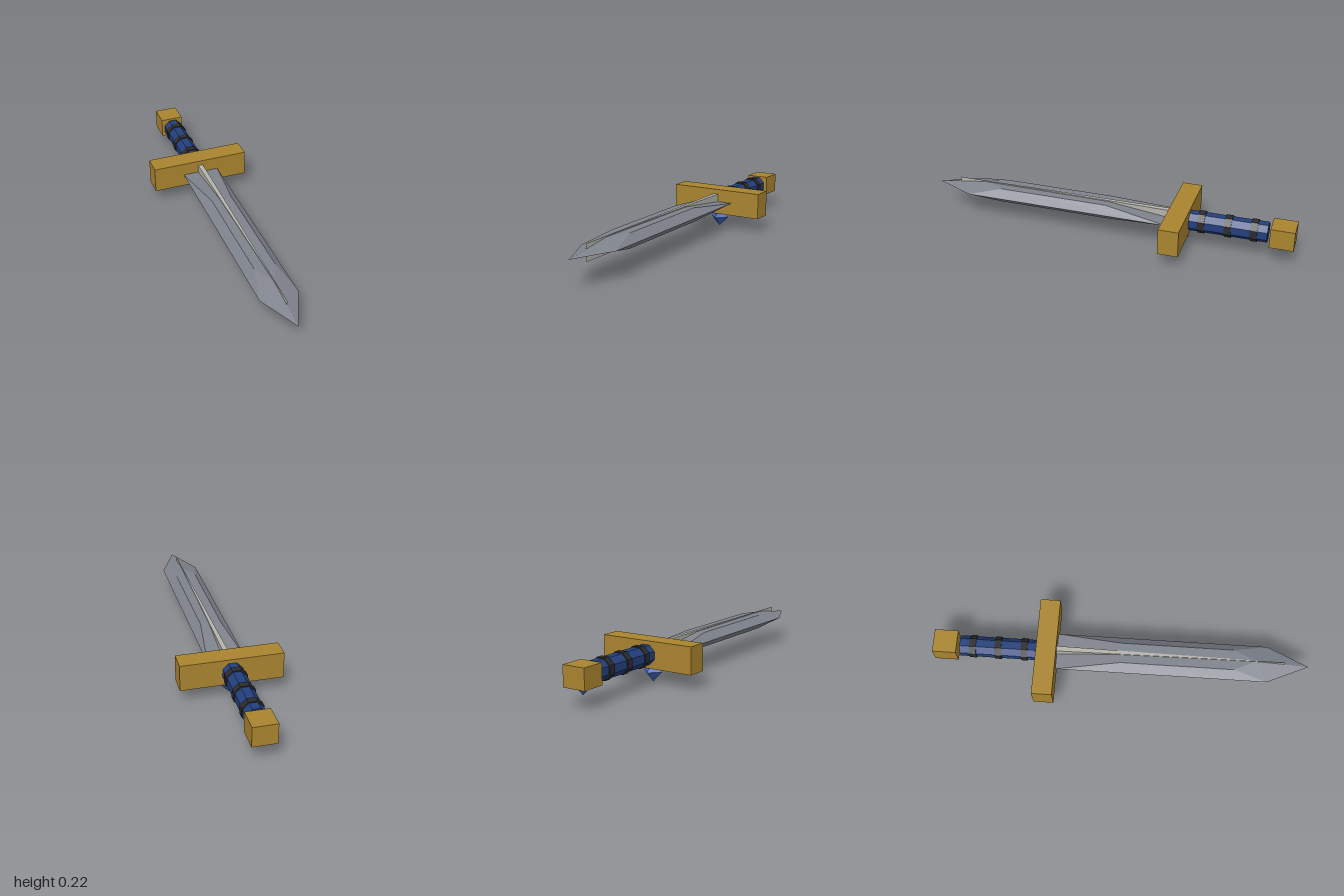
import * as THREE from 'three';
import { ConvexGeometry } from 'three/addons/geometries/ConvexGeometry.js';

const MID = 0.151; // height of the sword's long axis

function material(name, color) {
  const m = new THREE.MeshStandardMaterial({ color });
  m.name = name;
  return m;
}

export function createModel() {
  const steel = material('steel', 0x7f838c);
  const paleSteel = material('paleSteel', 0xb4b4ac);
  const gold = material('gold', 0xa9842f);
  const navy = material('navyGrip', 0x233f7c);
  const dark = material('darkWrap', 0x2b2b2f);
  const blue = material('blueGem', 0x3a5fb8);

  const model = new THREE.Group();
  model.name = 'sword';
  const add = (name, geometry, mat, x, y, z) => {
    const mesh = new THREE.Mesh(geometry, mat);
    mesh.name = name;
    mesh.position.set(x, y, z);
    model.add(mesh);
    return mesh;
  };

  // Faceted blade: sharp outline with a raised flat on both faces
  const outline = [[-0.1, -0.345], [0.1, -0.345], [0.1, 0.78], [0, 1], [-0.1, 0.78]];
  const raised = [[-0.055, 0], [0.055, 0], [0.055, 0.6], [0, 0.721], [-0.055, 0.6]];
  const points = outline.map(([x, z]) => new THREE.Vector3(x, 0, z));
  for (const side of [1, -1]) {
    for (const [x, z] of raised) points.push(new THREE.Vector3(x, side * 0.039, z));
  }
  add('blade', new ConvexGeometry(points), steel, 0, MID, 0);

  // Thin central spine, tapering to an edge near the tip
  const spine = [];
  for (const y of [-0.044, 0.044]) {
    for (const [x, z] of [[-0.014, -0.35], [0.014, -0.35], [0, 0.87]]) {
      spine.push(new THREE.Vector3(x, y, z));
    }
  }
  add('spine', new ConvexGeometry(spine), paleSteel, 0, MID, 0);

  // Guard and pommel blocks
  add('guard', new THREE.BoxGeometry(0.534, 0.141, 0.107), gold, 0, MID, -0.397);
  add('pommel', new THREE.BoxGeometry(0.125, 0.107, 0.125), gold, 0, MID, -0.9375);

  // Eight-sided grip and wraps lying along z
  const octagon = (apothem, length) => {
    const r = apothem / Math.cos(Math.PI / 8);
    return new THREE.CylinderGeometry(r, r, length, 8).toNonIndexed()
      .rotateY(Math.PI / 8).rotateX(Math.PI / 2);
  };
  const flat = (geometry) => {
    geometry.computeVertexNormals();
    return geometry;
  };
  add('grip', flat(octagon(0.05, 0.42)), navy, 0, MID, -0.65);
  for (const z of [-0.515, -0.655, -0.79]) {
    add('gripWrap', flat(octagon(0.055, 0.036)), dark, 0, MID, z);
  }

  // Gems set into the underside
  add('guardGem', new THREE.OctahedronGeometry(0.055), blue, 0, 0.055, -0.393);
  add('pommelGem', new THREE.OctahedronGeometry(0.04), blue, 0, 0.096, -0.9375);

  return model;
}
